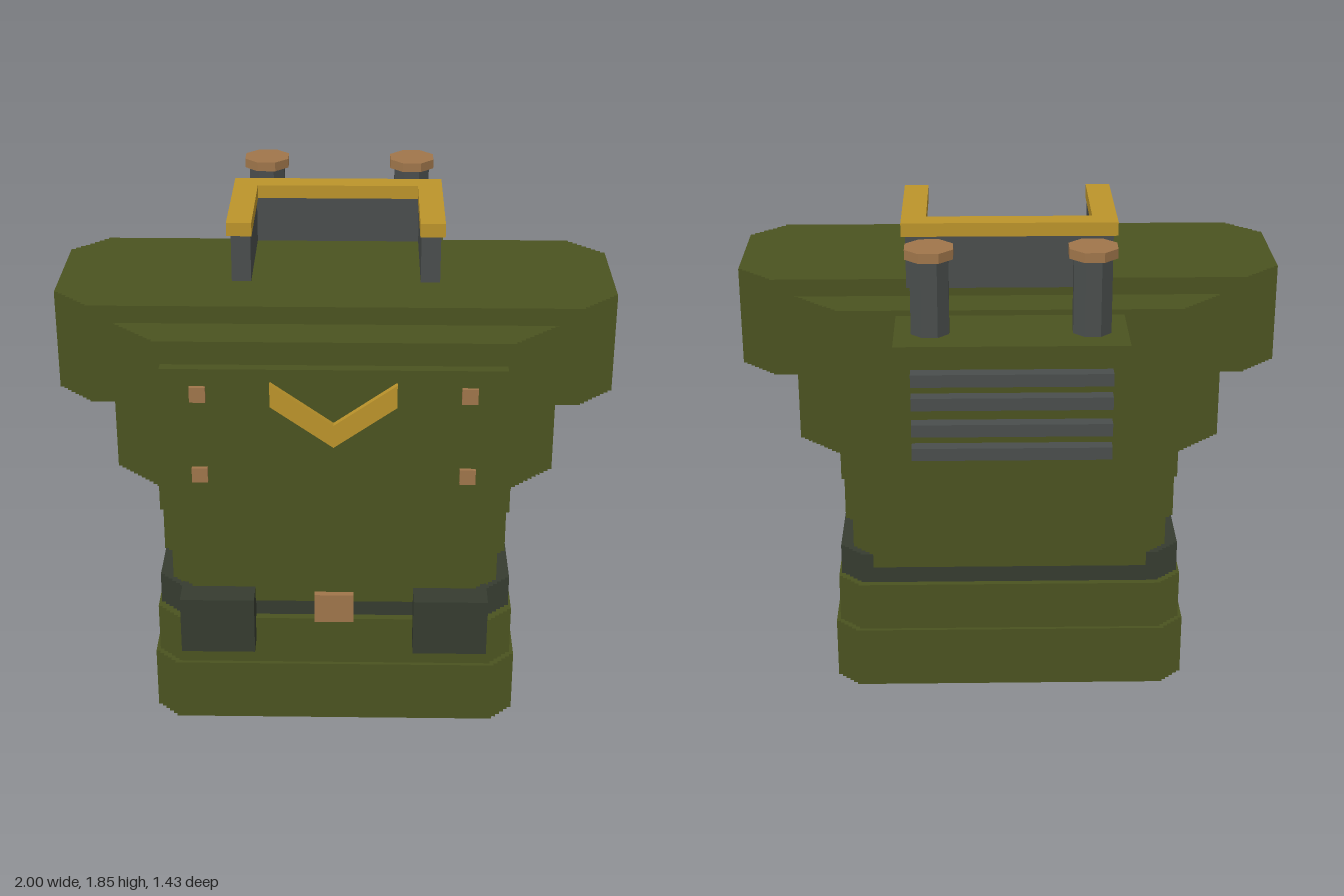
import * as THREE from 'three';

const mat = (name, color) => {
  const m = new THREE.MeshStandardMaterial({ color });
  m.name = name;
  return m;
};

export function createModel() {
  const green = mat('olive green', 0x4b5320);
  const dark = mat('dark belt green', 0x363c30);
  const grey = mat('steel grey', 0x4a4e4d);
  const gold = mat('gold', 0xbc942b);
  const copper = mat('copper', 0xa0764b);

  const model = new THREE.Group();
  model.name = 'armouredTorso';

  const add = (name, geometry, material) => {
    const mesh = new THREE.Mesh(geometry, material);
    mesh.name = name;
    model.add(mesh);
    return mesh;
  };

  // Box given by its limits on each axis
  const box = (name, material, x0, x1, y0, y1, z0, z1) => {
    const g = new THREE.BoxGeometry(x1 - x0, y1 - y0, z1 - z0);
    g.translate((x0 + x1) / 2, (y0 + y1) / 2, (z0 + z1) / 2);
    return add(name, g, material);
  };

  // Upright slab whose four corners are cut off in small stair steps
  const steppedSlab = (name, material, w, y0, y1, zBack, zFront, steps) => {
    const s = 0.0157;
    const mid = (zBack + zFront) / 2;
    const d = (zFront - zBack) / 2;
    const corner = [];
    for (let i = 0; i <= steps; i++) {
      const x = w - i * s;
      const z = d - (steps - i) * s;
      corner.push([x, z]);
      if (i < steps) corner.push([x - s, z]);
    }
    const back = [...corner].reverse();
    const outline = [
      ...corner,
      ...back.map(([x, z]) => [-x, z]),
      ...corner.map(([x, z]) => [-x, -z]),
      ...back.map(([x, z]) => [x, -z]),
    ].map(([x, z]) => new THREE.Vector2(x, z));
    const g = new THREE.ExtrudeGeometry(new THREE.Shape(outline), { depth: y1 - y0, bevelEnabled: false });
    g.rotateX(-Math.PI / 2);
    g.translate(0, y0, mid);
    return add(name, g, material);
  };

  // Flat outline in x and y, extruded from z0 to z1
  const plate = (name, material, points, z0, z1) => {
    const shape = new THREE.Shape(points.map(([x, y]) => new THREE.Vector2(x, y)));
    const g = new THREE.ExtrudeGeometry(shape, { depth: z1 - z0, bevelEnabled: false });
    g.translate(0, 0, z0);
    return add(name, g, material);
  };

  // Body layers from the hips up
  steppedSlab('lowerHips', green, 0.675, 0, 0.24, -0.325, 0.63, 5);
  steppedSlab('upperHips', green, 0.66, 0.24, 0.43, -0.31, 0.615, 5);
  steppedSlab('belt', dark, 0.65, 0.43, 0.55, -0.285, 0.585, 5);
  steppedSlab('waist', green, 0.6, 0.5, 0.68, -0.297, 0.605, 5);
  steppedSlab('abdomen', green, 0.625, 0.68, 0.85, -0.31, 0.615, 5);
  steppedSlab('ribs', green, 0.635, 0.85, 1.0, -0.325, 0.63, 5);
  steppedSlab('chest', green, 0.785, 1.0, 1.56, -0.35, 0.65, 10);
  steppedSlab('shoulders', green, 1.0, 1.255, 1.625, -0.19, 0.49, 8);

  // Chest plate with chevron
  plate('chestPlate', green, [[-0.5, 1.04], [0.5, 1.04], [0.6, 1.475], [-0.6, 1.475]], 0.64, 0.69);
  plate('chevron', gold,
    [[0, 1.19], [0.22, 1.345], [0.22, 1.43], [0, 1.275], [-0.22, 1.43], [-0.22, 1.345]], 0.68, 0.715);

  // Belt buckle
  box('buckle', copper, -0.072, 0.072, 0.425, 0.54, 0.58, 0.63);

  // Neck guard, open at the front, with a gold rim
  box('neckGuardBack', grey, -0.375, 0.375, 1.6, 1.8, -0.22, -0.17);
  box('neckRimBack', gold, -0.39, 0.39, 1.8, 1.85, -0.24, -0.155);

  // Backpack with vent bars
  box('backpack', green, -0.41, 0.41, 1.04, 1.54, -0.665, -0.34);
  for (const y of [1.158, 1.247, 1.346, 1.433]) {
    box('ventBar', grey, -0.35, 0.35, y - 0.023, y + 0.023, -0.715, -0.66);
  }

  // Eight-sided upright with flat sides facing the axes
  const octagon = (name, material, apothem, x, y0, y1, z) => {
    const r = apothem / Math.cos(Math.PI / 8);
    const g = new THREE.CylinderGeometry(r, r, y1 - y0, 8).toNonIndexed();
    g.rotateY(Math.PI / 8);
    g.translate(x, (y0 + y1) / 2, z);
    g.computeVertexNormals();
    add(name, g, material);
  };

  // Paired parts
  for (const s of [-1, 1]) {
    const pair = (name, material, a, b, ...rest) =>
      box(name, material, Math.min(s * a, s * b), Math.max(s * a, s * b), ...rest);
    pair('pouch', dark, 0.29, 0.56, 0.34, 0.56, 0.57, 0.705);
    pair('neckGuardSide', grey, 0.305, 0.375, 1.6, 1.8, -0.17, 0.25);
    pair('neckRimSide', gold, 0.3, 0.39, 1.8, 1.85, -0.155, 0.26);
    for (const y of [1.072, 1.383]) {
      pair('rivet', copper, 0.442, 0.498, y - 0.028, y + 0.028, 0.68, 0.705);
    }
    octagon('exhaustPipe', grey, 0.067, s * 0.283, 1.53, 1.815, -0.51);
    octagon('exhaustCap', copper, 0.084, s * 0.283, 1.815, 1.85, -0.512);
  }

  return model;
}
